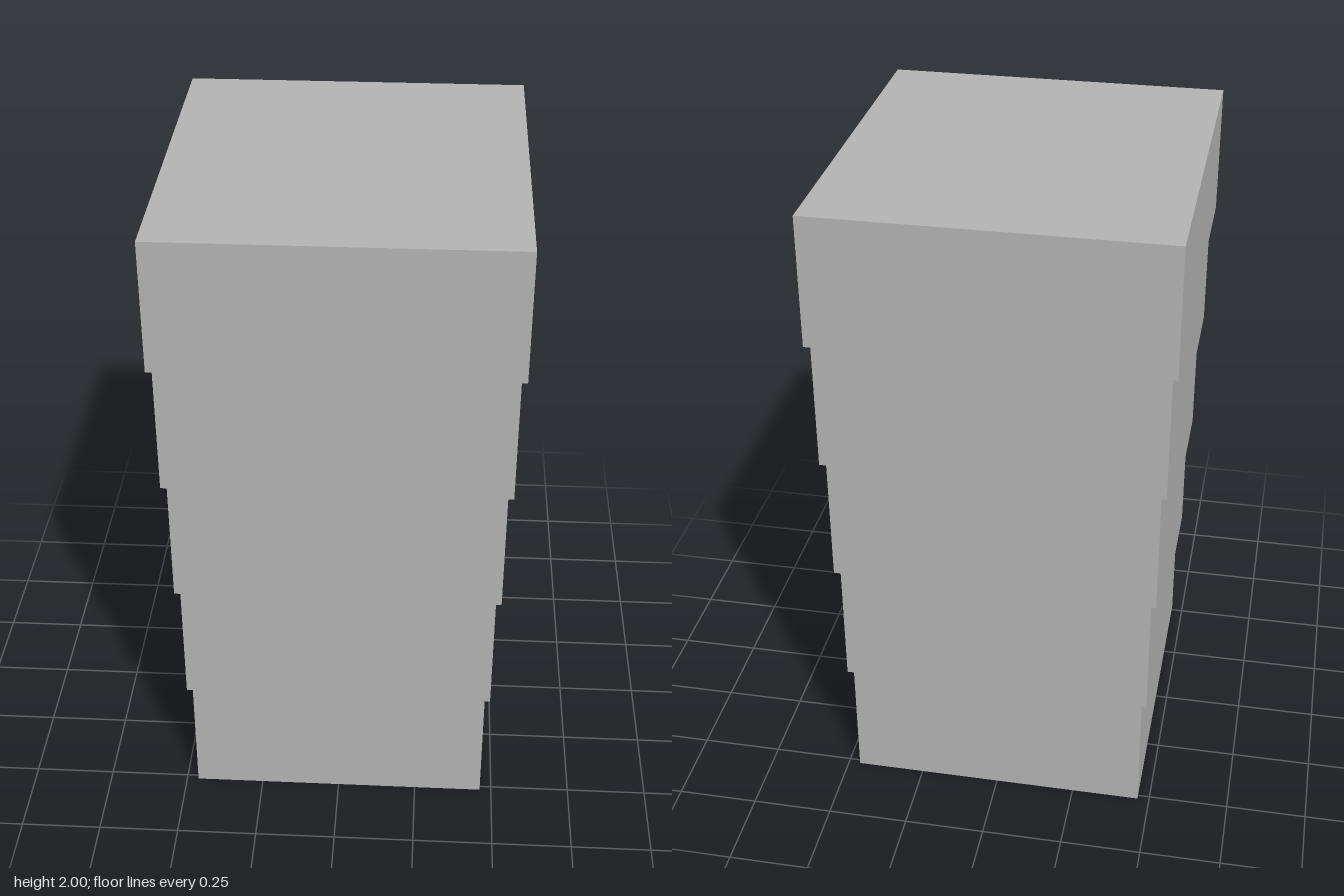
import * as THREE from 'three';

// Five stacked blocks, each slightly wider than the one beneath it.
export function createModel() {
  const group = new THREE.Group();
  group.name = 'steppedTower';
  const grey = new THREE.MeshStandardMaterial({ color: 0xb2b2b2 });
  grey.name = 'grey';

  const tiers = 5;
  const height = 2 / tiers;
  const step = 0.032; // growth in width and depth per tier

  for (let i = 0; i < tiers; i++) {
    const geometry = new THREE.BoxGeometry(0.926 + i * step, height, 1.03 + i * step);
    const tier = new THREE.Mesh(geometry, grey);
    tier.name = `tier${i + 1}`;
    tier.position.y = (i + 0.5) * height;
    group.add(tier);
  }
  return group;
}
